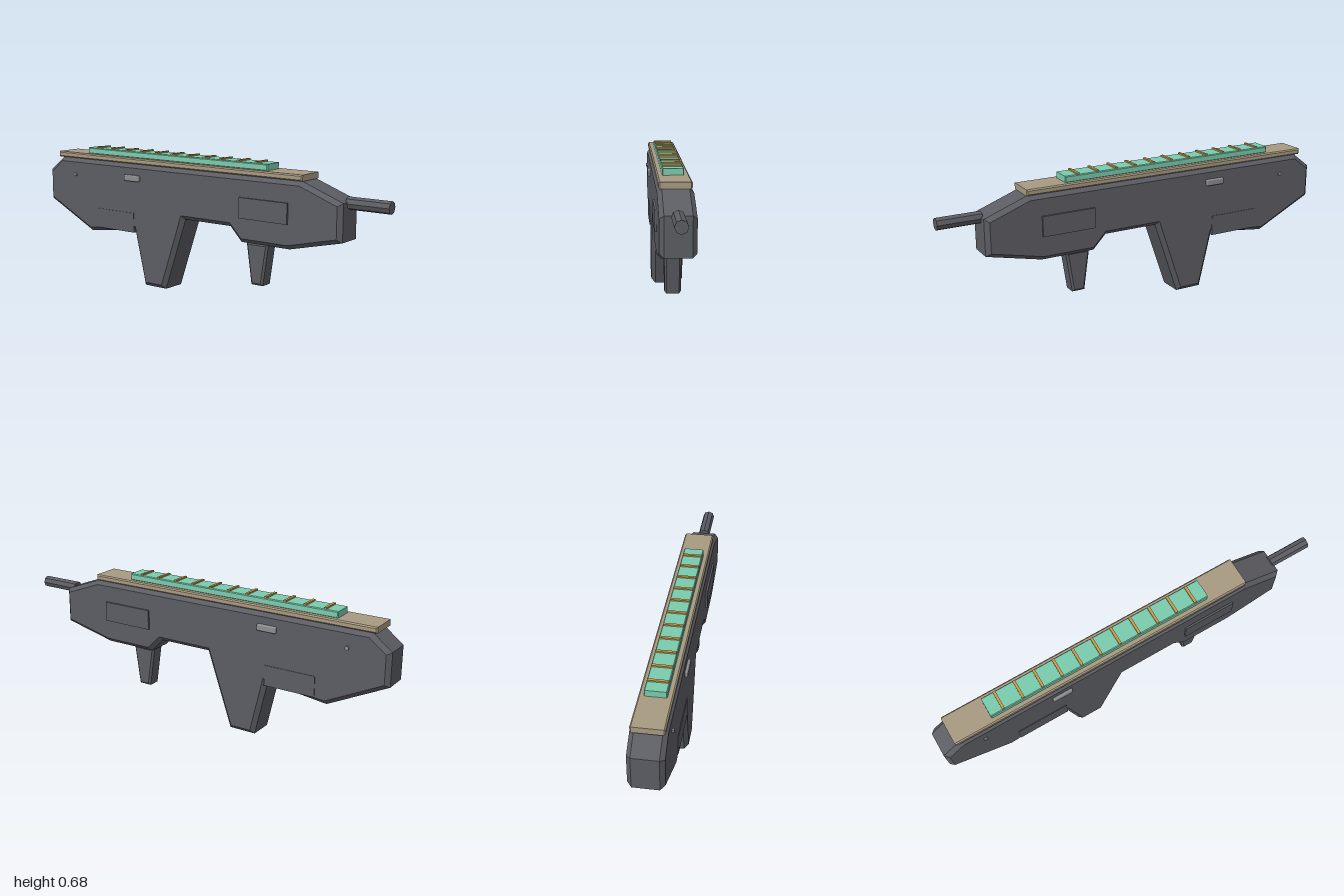
import * as THREE from 'three';
import { RoundedBoxGeometry } from 'three/addons/geometries/RoundedBoxGeometry.js';

const mat = (name, color) => {
  const m = new THREE.MeshStandardMaterial({ color });
  m.name = name;
  return m;
};

// Side profile given as [z, y] points, extruded across x with one chamfer
function chamferedProfile(points, halfWidth, chamfer, depth) {
  const shape = new THREE.Shape(points.map(([z, y]) => new THREE.Vector2(z, y)));
  const flat = 2 * (halfWidth - depth);
  const geo = new THREE.ExtrudeGeometry(shape, {
    depth: flat, bevelEnabled: true, bevelSegments: 1,
    bevelSize: chamfer, bevelOffset: -chamfer, bevelThickness: depth,
  });
  return geo.translate(0, 0, -flat / 2).rotateY(-Math.PI / 2);
}

// Facets a smooth geometry
function faceted(geo) {
  const g = geo.toNonIndexed();
  g.computeVertexNormals();
  return g;
}

export function createModel() {
  const model = new THREE.Group();
  model.name = 'model';
  const bodyGrey = mat('body grey', 0x5c5d63);
  const tan = mat('tan', 0xa89a82);
  const mint = mat('mint green', 0x7accae);
  const amber = mat('amber', 0xc8994a);
  const silver = mat('silver', 0x8c8d90);

  const add = (name, geo, material, x = 0, y = 0, z = 0) => {
    const mesh = new THREE.Mesh(geo, material);
    mesh.name = name;
    mesh.position.set(x, y, z);
    model.add(mesh);
    return mesh;
  };

  // Body with the rear handle in one chamfered outline
  add('body', chamferedProfile([
    [0.8, 0.365], [0.8, 0.54], [0.59, 0.618], [-0.905, 0.618], [-1, 0.545], [-1, 0.385],
    [-0.705, 0.24], [-0.4, 0.278], [-0.335, 0], [-0.2, 0], [-0.072, 0.37],
    [0.2, 0.37], [0.265, 0.302], [0.53, 0.302],
  ], 0.079, 0.02, 0.02), bodyGrey);

  // Front handle
  add('frontHandle', chamferedProfile([
    [0.396, 0.3], [0.273, 0.3], [0.302, 0.098], [0.366, 0.098],
  ], 0.038, 0.01, 0.009), bodyGrey);

  // Eight-sided front tube
  const tube = faceted(new THREE.CylinderGeometry(0.029, 0.029, 0.21, 8)).rotateX(Math.PI / 2);
  add('frontTube', tube, bodyGrey, 0, 0.534, 0.895);

  // Top plate and rail
  add('topPlate', chamferedProfile([
    [0.597, 0.618], [0.597, 0.647], [-0.93, 0.647], [-0.93, 0.618],
  ], 0.073, 0.006, 0.006), tan);
  add('rail', chamferedProfile([
    [0.397, 0.645], [0.397, 0.677], [-0.735, 0.677], [-0.735, 0.645],
  ], 0.049, 0.004, 0.004), mint);

  // Cross ridges on the rail
  const ridge = new THREE.BoxGeometry(0.092, 0.012, 0.013);
  for (let i = 0; i < 11; i++) add('railRidge', ridge, amber, 0, 0.678, 0.33 - i * 0.1);

  // Raised panels, buttons and pins on both sides
  for (const s of [1, -1]) {
    add('frontPanel', new THREE.BoxGeometry(0.02, 0.098, 0.265), bodyGrey, s * 0.078, 0.468, 0.398);
    add('rearPanel', new THREE.BoxGeometry(0.02, 0.1, 0.26), bodyGrey, s * 0.072, 0.318, -0.522);
    add('sideButton', new RoundedBoxGeometry(0.03, 0.032, 0.1, 2, 0.007), silver, s * 0.077, 0.547, -0.4);
    const pin = faceted(new THREE.CylinderGeometry(0.01, 0.01, 0.02, 8)).rotateZ(Math.PI / 2);
    add('pin', pin, silver, s * 0.078, 0.533, -0.8);
  }
  return model;
}
